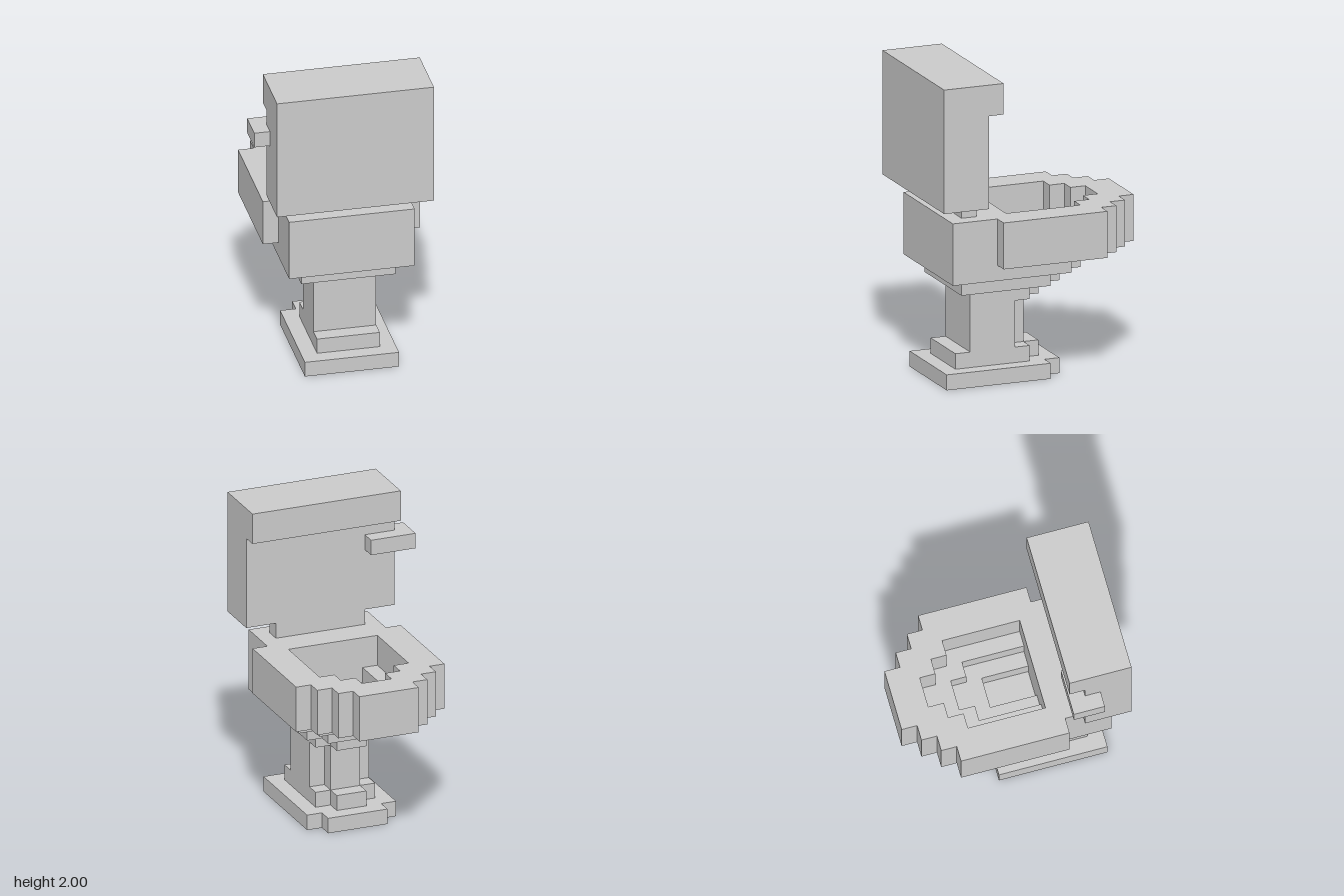
import * as THREE from 'three';

const CX = 0.05; // mirror axis of the body
const material = new THREE.MeshStandardMaterial({ color: 0xcccccc, flatShading: true });

// Stepped outline, symmetric about CX. steps: [halfWidth, zEnd], running from zStart towards -z.
function outline(zStart, steps, Type = THREE.Shape) {
  const right = [];
  let z = zStart;
  for (const [half, zEnd] of steps) {
    right.push([half, -z], [half, -zEnd]);
    z = zEnd;
  }
  const left = right.map(([half, y]) => [-half, y]).reverse();
  return new Type([...right, ...left].map(([x, y]) => new THREE.Vector2(CX + x, y)));
}

// Horizontal slab from y0 to y1 with an optional opening
function slab(name, y0, y1, zStart, steps, hole) {
  const shape = outline(zStart, steps);
  if (hole) shape.holes.push(outline(0.2, hole, THREE.Path));
  const geometry = new THREE.ExtrudeGeometry(shape, { depth: y1 - y0, bevelEnabled: false });
  geometry.rotateX(-Math.PI / 2).translate(0, y0, 0);
  const mesh = new THREE.Mesh(geometry, material);
  mesh.name = name;
  return mesh;
}

// Box given by its extents
function box(name, [x0, x1], [y0, y1], [z0, z1]) {
  const mesh = new THREE.Mesh(new THREE.BoxGeometry(x1 - x0, y1 - y0, z1 - z0), material);
  mesh.position.set((x0 + x1) / 2, (y0 + y1) / 2, (z0 + z1) / 2);
  mesh.name = name;
  return mesh;
}

export function createModel() {
  const model = new THREE.Group();
  model.name = 'toilet';

  // Foot and pedestal
  model.add(
    slab('base', 0, 0.1, 0.6, [[0.3, -0.1], [0.2, -0.2]]),
    slab('foot', 0.1, 0.2, 0.5, [[0.2, 0], [0.1, -0.1]]),
    slab('column', 0.2, 0.5, 0.4, [[0.2, 0.1], [0.1, 0]]),
    slab('columnTop', 0.5, 0.6, 0.4, [[0.2, 0], [0.1, -0.1]])
  );

  // Bowl, widening upwards around a stepped basin
  const rim = [[0.4, 0.3], [0.5, -0.4], [0.4, -0.5], [0.3, -0.6], [0.2, -0.7]];
  const basinTop = [[0.3, -0.3], [0.2, -0.4], [0.1, -0.5]];
  const basinMiddle = [[0.2, -0.2], [0.1, -0.3]];
  const basinBottom = [[0.1, -0.1]];
  model.add(
    slab('bowlBottom', 0.6, 0.7, 0.5, [[0.3, -0.1], [0.2, -0.2]]),
    slab('bowlMiddle', 0.7, 0.8, 0.6, [[0.4, -0.2], [0.3, -0.3]], basinBottom),
    slab('bowlLedge', 0.8, 0.9, 0.6, rim, basinMiddle),
    slab('bowlRim', 0.9, 1.1, 0.6, rim, basinTop)
  );

  // Tank with overhanging lid
  model.add(
    box('tankNeck', [-0.25, 0.35], [1.1, 1.2], [0.4, 0.5]),
    box('tank', [-0.45, 0.55], [1.2, 1.8], [0.4, 0.7]),
    box('tankLid', [-0.45, 0.55], [1.8, 2], [0.3, 0.7])
  );

  // Flush lever wrapping the tank corner
  const lever = new THREE.Group();
  lever.name = 'flushLever';
  lever.add(
    box('leverArm', [-0.55, -0.25], [1.6, 1.7], [0.3, 0.4]),
    box('leverMount', [-0.55, -0.45], [1.6, 1.7], [0.4, 0.5])
  );
  model.add(lever);

  return model;
}
